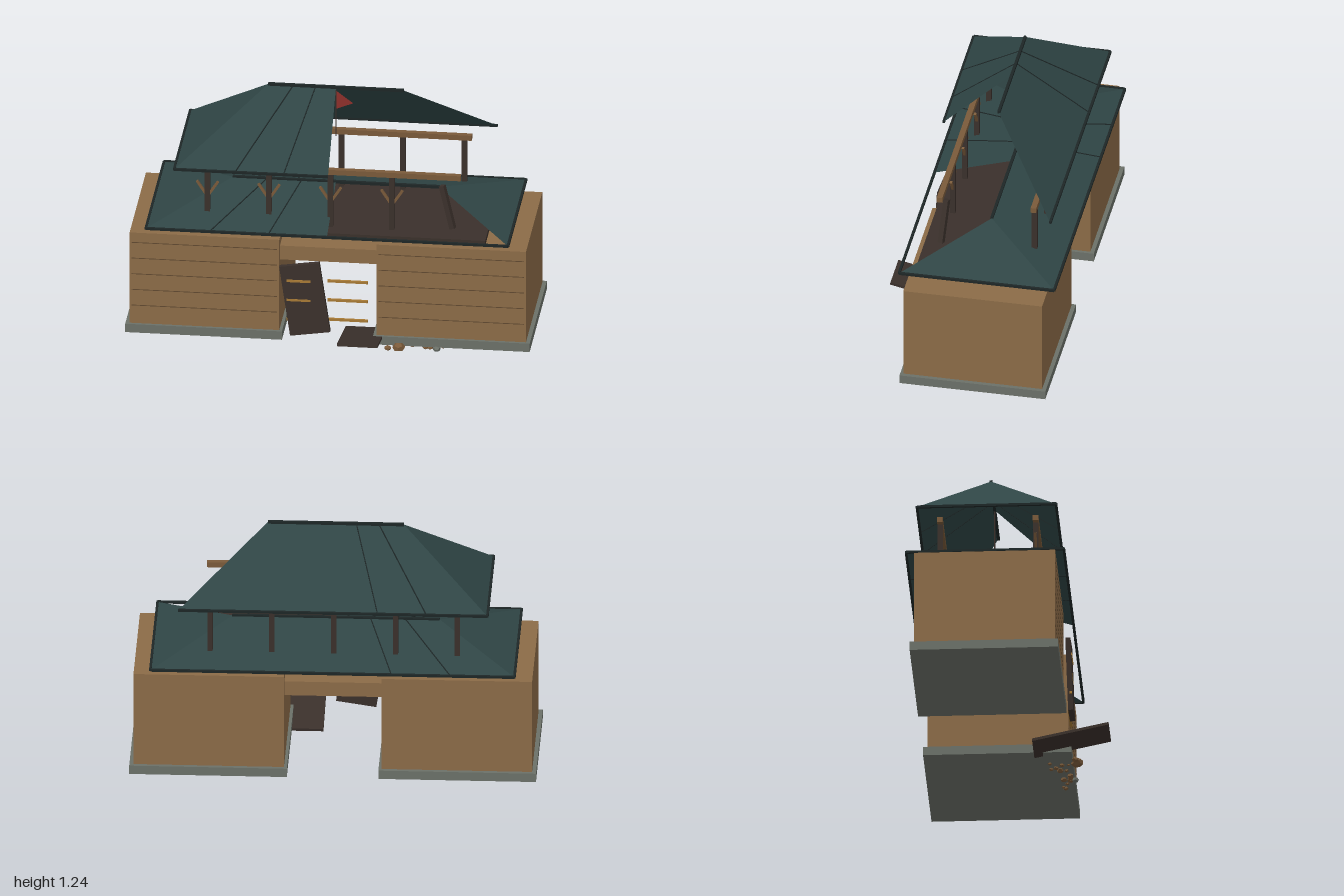
import * as THREE from 'three';

const mat = (color) => new THREE.MeshStandardMaterial({ color, flatShading: true, side: THREE.DoubleSide });
const WALL = mat(0x8b6b47), STONE = mat(0x6b7068), TILE = mat(0x2f4545), TRIM = mat(0x1d2626),
  DARK = mat(0x3a302b), WOOD = mat(0x7a5a3a), BRASS = mat(0xa87a35), RED = mat(0x8c2f2a), SEAM = mat(0x5f482f);

export function createModel() {
  const model = new THREE.Group();
  const ZC = -0.08; // ridge line depth

  const add = (parent, name, geo, material) => {
    const mesh = new THREE.Mesh(geo, material);
    mesh.name = name;
    parent.add(mesh);
    return mesh;
  };
  const group = (name) => {
    const g = new THREE.Group();
    g.name = name;
    model.add(g);
    return g;
  };
  // box given by its limits
  const box = (parent, name, x0, x1, y0, y1, z0, z1, material) => {
    const m = add(parent, name, new THREE.BoxGeometry(x1 - x0, y1 - y0, z1 - z0), material);
    m.position.set((x0 + x1) / 2, (y0 + y1) / 2, (z0 + z1) / 2);
    return m;
  };
  // square bar between two points
  const bar = (parent, name, a, b, size, material) => {
    const A = new THREE.Vector3(...a), B = new THREE.Vector3(...b);
    const m = add(parent, name, new THREE.BoxGeometry(size, size, A.distanceTo(B)), material);
    m.position.copy(A).lerp(B, 0.5);
    m.lookAt(B);
    return m;
  };
  // flat panel from a corner loop
  const panel = (parent, name, pts, material) => {
    const geo = new THREE.BufferGeometry();
    geo.setAttribute('position', new THREE.Float32BufferAttribute(pts.flat(), 3));
    geo.setIndex(pts.length === 4 ? [0, 1, 2, 0, 2, 3] : [0, 1, 2]);
    geo.computeVertexNormals();
    return add(parent, name, geo, material);
  };

  // two wall blocks on stone plinths
  for (const s of [-1, 1]) {
    const g = group(s < 0 ? 'westBlock' : 'eastBlock');
    const lim = (a, b) => (s < 0 ? [-b, -a] : [a, b]);
    box(g, 'plinth', ...lim(0.225, 1), 0.02, 0.065, -0.445, 0.285, STONE);
    box(g, 'wall', ...lim(0.24, 0.98), 0.065, 0.555, -0.425, 0.27, WALL);
    for (let i = 0; i < 5; i++) {
      const y = 0.16 + i * 0.085;
      box(g, 'wallSeam', ...lim(0.25, 0.97), y, y + 0.004, 0.269, 0.271, SEAM);
    }
  }
  box(model, 'gateLintel', -0.24, 0.24, 0.435, 0.51, -0.38, 0.24, WALL);
  box(model, 'deck', -0.78, 0.775, 0.565, 0.59, -0.395, 0.24, DARK);

  // hipped roof with its front right slope lost
  const roof = (name, ex, ez, ey, rx, ry, keepEastHip, seams) => {
    const g = group(name);
    const zf = ZC + ez, zb = ZC - ez;
    const R = (x) => [x, ry, ZC], F = (x) => [x, ey, zf], B = (x) => [x, ey, zb];
    panel(g, 'frontSlope', [F(-ex), F(0), R(0), R(-rx)], TILE);
    panel(g, 'backSlope', [B(ex), B(-ex), R(-rx), R(rx)], TILE);
    panel(g, 'westHip', [B(-ex), F(-ex), R(-rx)], TILE);
    if (keepEastHip) panel(g, 'eastHip', [F(ex), B(ex), R(rx)], TILE);
    bar(g, 'ridgeBeam', R(-rx), R(rx), 0.014, TRIM);
    bar(g, 'backEave', B(-ex), B(ex), 0.012, TRIM);
    bar(g, 'frontEave', F(-ex), F(keepEastHip ? ex : 0), 0.012, TRIM);
    bar(g, 'westEave', B(-ex), F(-ex), 0.012, TRIM);
    if (keepEastHip) bar(g, 'eastEave', B(ex), F(ex), 0.012, TRIM);
    for (const [a, b] of seams) {
      bar(g, 'roofSeam', R(a), F(b), 0.005, TRIM);
      bar(g, 'roofSeam', R(a), B(b), 0.005, TRIM);
    }
  };
  roof('lowerRoof', 0.895, 0.388, 0.599, 0.51, 0.72, true, [[-0.34, -0.58], [-0.17, -0.29]]);
  roof('upperRoof', 0.76, 0.342, 0.906, 0.335, 1.233, false, [[-0.21, -0.46], [-0.1, -0.22]]);

  // open gallery of posts carrying the wall plates
  const gallery = group('gallery');
  for (const z of [0.155, -0.315]) {
    box(gallery, 'wallPlate', -0.65, 0.645, 0.873, 0.9, z - 0.014, z + 0.014, WOOD);
    for (let i = -2; i <= 2; i++) {
      const x = i * 0.304;
      if (z > 0 && i === 2) continue;
      box(gallery, 'post', x - 0.013, x + 0.013, 0.59, 0.875, z - 0.013, z + 0.013, DARK);
      if (z > 0) for (const s of [-1, 1])
        bar(gallery, 'brace', [x, 0.72, z], [x + s * 0.052, 0.8, z], 0.012, WOOD);
    }
  }
  bar(gallery, 'leaningPost', [0.605, 0.61, 0.155], [0.55, 0.83, 0.137], 0.026, DARK);

  // pennant
  const flag = group('pennant');
  const pole = add(flag, 'pole', new THREE.CylinderGeometry(0.004, 0.004, 0.26, 6), DARK);
  pole.position.set(0, 1.1, ZC);
  panel(flag, 'cloth', [[0, 1.115, ZC], [0.085, 1.15, ZC], [0, 1.215, ZC]], RED);

  // broken gate: one leaf hanging, one on the ground, loose bars
  const leaf = group('hangingLeaf');
  leaf.position.set(-0.11, 0.256, 0.297);
  leaf.rotation.set(-0.03, 0, 0.15);
  add(leaf, 'board', new THREE.BoxGeometry(0.2, 0.37, 0.025), DARK);
  const fallen = add(model, 'fallenLeaf', new THREE.BoxGeometry(0.2, 0.014, 0.385), DARK);
  fallen.position.set(0.17, 0.058, 0.288);
  fallen.rotation.x = -0.21;
  for (const y of [0.145, 0.25, 0.353]) {
    bar(model, 'hinge', [-0.2, y, 0.305], [-0.08, y, 0.305], 0.012, BRASS);
    bar(model, 'looseBar', [0, y, 0.285], [0.2, y, 0.285], 0.012, BRASS);
  }

  // rubble by the gate
  const rubble = group('rubble');
  let seed = 7;
  const rnd = () => (seed = (seed * 16807) % 2147483647) / 2147483647;
  const stone = (x, z, r, material) => {
    const m = add(rubble, 'stone', new THREE.DodecahedronGeometry(r), material);
    m.scale.y = 0.7;
    m.position.set(x, r * 0.67, z);
    m.rotation.y = rnd() * 6;
  };
  stone(0.355, 0.305, 0.032, WOOD);
  stone(0.3, 0.3, 0.018, WOOD);
  stone(0.54, 0.285, 0.02, STONE);
  for (let i = 0; i < 14; i++) stone(0.25 + rnd() * 0.5, 0.1 + rnd() * 0.18, 0.008 + rnd() * 0.01, WOOD);

  return model;
}
